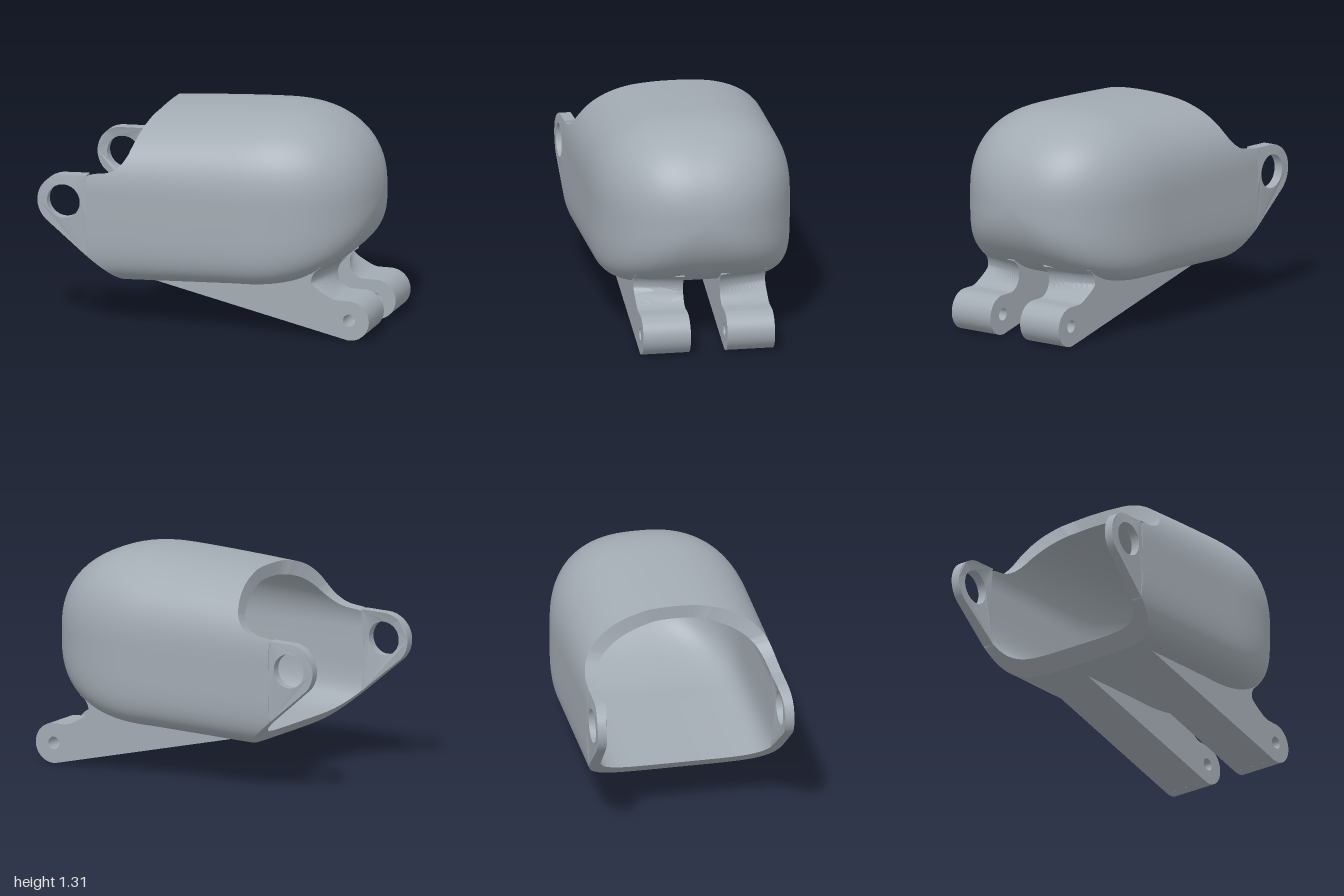
import * as THREE from 'three';

const shellMaterial = new THREE.MeshStandardMaterial({ color: 0xa3abb3 });
shellMaterial.name = 'blue grey plastic';

const MID = 0.8, AROUND = 320, ALONG = 36, WALL = 0.08;
const TIP = 0.945, SEAM = -0.7;

// Side outline of the opening above the ears, as [y, x]
const RIM = [[0.926, SEAM], [0.935, -0.61], [0.955, -0.55], [0.985, -0.508], [1.02, -0.477],
  [1.06, -0.455], [1.15, -0.425], [1.2, -0.408], [1.24, -0.39], [1.255, -0.375], [1.266, -0.37]];

// x of the opening at height y
function openingX(y) {
  if (y < 0.434) return -0.48 - (y - 0.25) / 0.837;
  for (let i = 1; i < RIM.length; i++) {
    const [y0, x0] = RIM[i - 1], [y1, x1] = RIM[i];
    if (y < y0) return SEAM;
    if (y < y1) return x0 + (x1 - x0) * (y - y0) / (y1 - y0);
  }
  return -0.37;
}

// Rounding-off factor from 1 at x = start to 0 at the tip
function taper(x, start, tip, p) {
  const k = Math.min(1, Math.max(0, (x - start) / (tip - start)));
  return Math.pow(1 - Math.pow(k, p), 1 / p);
}

// Half-width, half-heights and roundness of the section at x, inset by d
function section(x, d) {
  const tip = TIP - d;
  const front = Math.min(1, Math.max(0, (x - 0.2) / (tip - 0.2)));
  return {
    width: (0.595 - 0.69 * d) * taper(x, 0.2, tip, 2.35),
    up: (0.51 - d - 0.05 * Math.pow(Math.max(0, 0.35 - x) / 0.73, 1.3)) * taper(x, 0.35, tip, 2.25),
    down: (MID - d - 0.25 - (Math.min(x, 0.2) + 0.48) * 0.05) * taper(x, 0.2, tip, 2.25),
    pUp: d > 0 ? 2.25 : 2.5,
    pDown: 5.5 - 2 * front * front,
  };
}

// Point on the shell at station x and angle a; the inset skin keeps equal heights on the sides
function shellPoint(x, a, d) {
  const { width, up, down, pUp, pDown } = section(x, d);
  const c = Math.cos(a), s = Math.sin(a) * (1 + 2.25 * d);
  const p = s >= 0 ? pUp : pDown;
  const r = Math.pow(Math.pow(Math.abs(c), p) + Math.pow(Math.abs(s), p), -1 / p);
  return [x, MID + (s >= 0 ? up : down) * s * r, width * c * r];
}

// Half-width of the shell side at height y, for the ears
function sideWidth(y, d) {
  const { width, up, down, pUp, pDown } = section(SEAM, d);
  const p = y > MID ? pUp : pDown;
  const k = y > MID ? (y - MID) / up : (MID - y) / down;
  return width * Math.pow(1 - Math.pow(k, p), 1 / p);
}

// Station where the line at angle a meets the opening
function startX(a, d) {
  let lo = -1, hi = 0.3;
  for (let i = 0; i < 30; i++) {
    const m = (lo + hi) / 2;
    if (m < openingX(shellPoint(m, a, d)[1])) lo = m; else hi = m;
  }
  return hi;
}

// Rings from the opening to the tip; the upper rim is square to the wall
function shellRings(d) {
  const rings = Array.from({ length: ALONG + 1 }, () => []);
  for (let j = 0; j < AROUND; j++) {
    const a = j / AROUND * Math.PI * 2, x0 = startX(a, Math.sin(a) > 0 ? 0 : d);
    for (let i = 0; i <= ALONG; i++) {
      const x = x0 + (TIP - d - x0) * Math.sin(i / ALONG * Math.PI / 2);
      rings[i].push(shellPoint(x, a, d));
    }
  }
  return rings;
}

// Skin over closed rings
function loft(rings) {
  const n = rings[0].length, index = [];
  for (let i = 0; i < rings.length - 1; i++) {
    for (let j = 0; j < n; j++) {
      const a = i * n + j, b = i * n + (j + 1) % n;
      index.push(a, a + n, b + n, a, b + n, b);
    }
  }
  const g = new THREE.BufferGeometry();
  g.setAttribute('position', new THREE.Float32BufferAttribute(rings.flat(2), 3));
  g.setIndex(index);
  g.computeVertexNormals();
  return g;
}

function circleHole(shape, x, y, r) {
  const hole = new THREE.Path();
  hole.absarc(x, y, r, 0, Math.PI * 2, true);
  shape.holes.push(hole);
}

function extrude(shape, depth, z) {
  return new THREE.ExtrudeGeometry(shape, { depth, bevelEnabled: false, curveSegments: 24 }).translate(0, 0, z);
}

// Rounded ear with the pivot hole, bent to follow the shell side
function earGeometry(side) {
  const s = new THREE.Shape();
  s.moveTo(SEAM, 0.434);
  s.lineTo(SEAM, 0.68);
  s.lineTo(SEAM, 0.926);
  s.lineTo(-0.84, 0.92);
  s.absarc(-0.84, 0.76, 0.16, Math.PI / 2, Math.PI * 230 / 180, false);
  s.closePath();
  circleHole(s, -0.838, 0.76, 0.102);
  const g = extrude(s, 1, -0.5);
  const p = g.attributes.position;
  for (let i = 0; i < p.count; i++) {
    const isOuter = p.getZ(i) * side > 0;
    p.setZ(i, side * sideWidth(p.getY(i), isOuter ? 0 : WALL));
  }
  g.computeVertexNormals();
  return g;
}

// Wedge bracket with a pin hole; its cove flares towards the outer side
function bracketGeometry(side) {
  const s = new THREE.Shape();
  s.moveTo(-0.35, 0.27);
  s.lineTo(0.855, 0.003);
  s.absarc(0.88, 0.12, 0.12, -Math.PI * 0.567, Math.PI / 2, false);
  s.lineTo(0.8, 0.24);
  s.bezierCurveTo(0.74, 0.245, 0.715, 0.295, 0.715, 0.335);
  s.bezierCurveTo(0.715, 0.375, 0.735, 0.405, 0.77, 0.425);
  s.lineTo(0.765, 0.45);
  s.lineTo(0.68, 0.43);
  s.lineTo(0.5, 0.36);
  s.lineTo(0.2, 0.32);
  s.closePath();
  circleHole(s, 0.877, 0.122, 0.037);
  const g = extrude(s, 0.285, side > 0 ? 0.11 : -0.395);
  const p = g.attributes.position;
  for (let i = 0; i < p.count; i++) {
    const x = p.getX(i);
    if (x < 0.65) continue;
    const lift = THREE.MathUtils.smoothstep(p.getY(i), 0.24, 0.34);
    p.setX(i, x - 0.075 * lift * (Math.abs(p.getZ(i)) - 0.11) / 0.285);
  }
  g.computeVertexNormals();
  return g;
}

export function createModel() {
  const model = new THREE.Group();
  model.name = 'fingertipShell';
  const add = (name, geometry) => {
    const mesh = new THREE.Mesh(geometry, shellMaterial);
    mesh.name = name;
    model.add(mesh);
  };

  // Hollow rounded shell
  const outer = shellRings(0), inner = shellRings(WALL);
  add('outerShell', loft(outer));
  add('innerShell', loft(inner.slice().reverse()));
  add('openingRim', loft([inner[0], outer[0]]));

  // Pivot ears and lower brackets on both sides
  add('frontEar', earGeometry(1));
  add('backEar', earGeometry(-1));
  add('frontBracket', bracketGeometry(1));
  add('backBracket', bracketGeometry(-1));
  return model;
}
